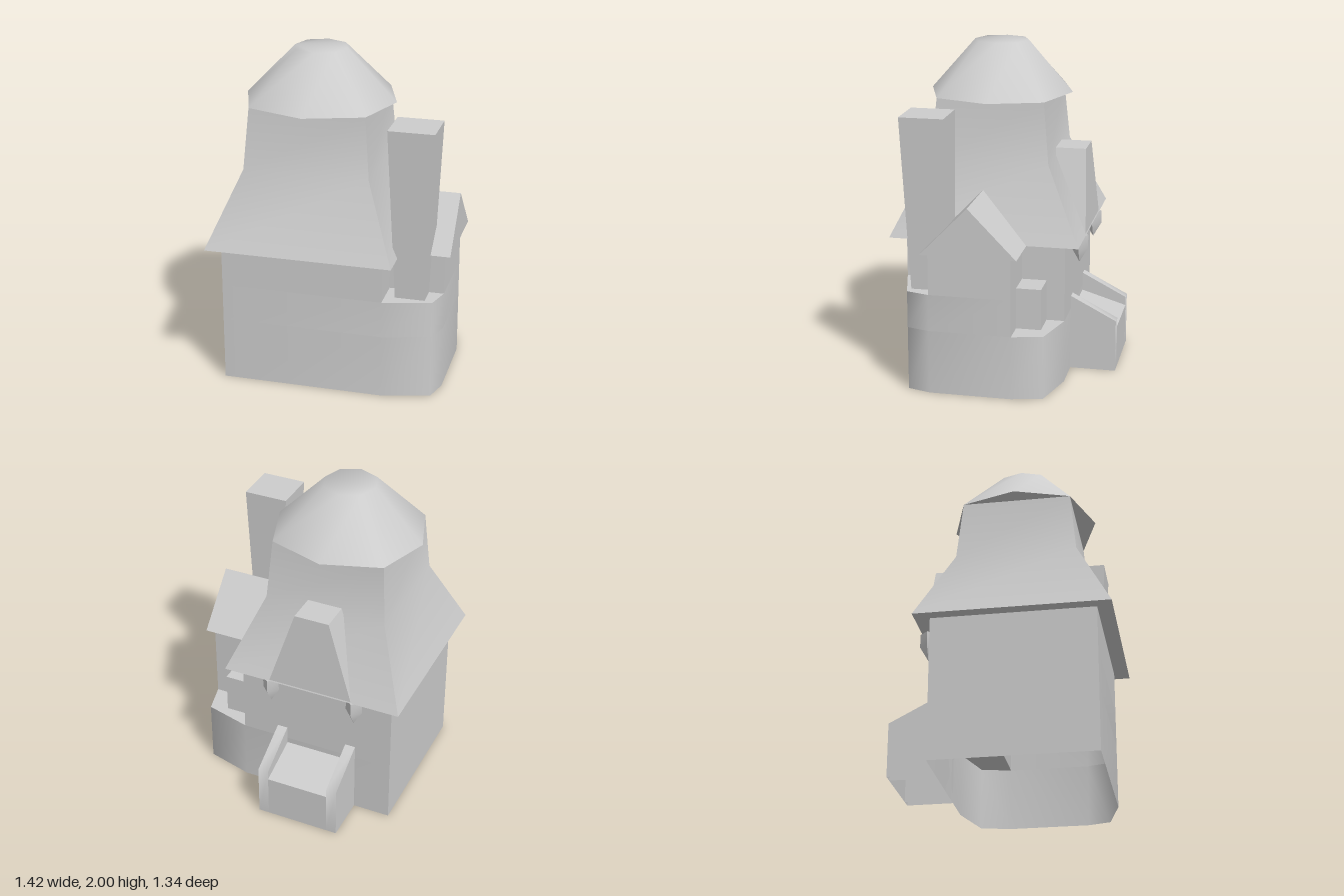
import * as THREE from 'three';
import { toCreasedNormals } from 'three/addons/utils/BufferGeometryUtils.js';

const stone = new THREE.MeshStandardMaterial({ color: 0xcccccc, side: THREE.DoubleSide });
stone.name = 'stone';

// Skin a stack of rings (counter-clockwise seen from above), with optional end caps
function loft(rings, top = true, bottom = true) {
  const n = rings[0].length, idx = [];
  for (let r = 0; r < rings.length - 1; r++) {
    for (let i = 0; i < n; i++) {
      const a = r * n + i, b = r * n + (i + 1) % n;
      idx.push(a, b, b + n, a, b + n, a + n);
    }
  }
  const last = (rings.length - 1) * n;
  for (let i = 1; i < n - 1; i++) {
    if (top) idx.push(last, last + i, last + i + 1);
    if (bottom) idx.push(0, i + 1, i);
  }
  const g = new THREE.BufferGeometry();
  g.setAttribute('position', new THREE.Float32BufferAttribute(rings.flat(2), 3));
  g.setIndex(idx);
  return toCreasedNormals(g, 1.2);
}

const ring = (y, pts) => pts.map(([x, z]) => [x, y, z]);
const rect = (y, x0, x1, z0, z1) => ring(y, [[x0, z1], [x1, z1], [x1, z0], [x0, z0]]);

export function createModel() {
  const group = new THREE.Group();
  const add = (name, geometry) => {
    const m = new THREE.Mesh(geometry, stone);
    m.name = name;
    group.add(m);
    return m;
  };

  // House walls: the rounded corners stop at different heights
  const frontRound = [[0.34, 0.58], [0.63, 0.503], [0.67, 0.365]];
  const frontNotch = [[0.34, 0.58], [0.34, 0.365], [0.67, 0.365]];
  const backRound = [[0.67, -0.13], [0.625, -0.314], [0.34, -0.39]];
  const backNotch = [[0.67, -0.13], [0.34, -0.13], [0.34, -0.39]];
  const plan = (front, back) => [[-0.64, 0.58], ...front, ...back, [-0.64, -0.39]];
  const wall = (name, y0, y1, pts) => add(name, loft([ring(y0, pts), ring(y1, pts)], false, false));
  wall('lowerWalls', 0, 0.39, plan(frontRound, backRound));
  wall('middleWalls', 0.39, 0.615, plan(frontRound, backNotch));
  wall('upperWalls', 0.615, 0.87, plan(frontNotch, backNotch));
  add('frontLedge', loft([ring(0.615, [[0.34, 0.365], ...frontRound])], true, false));
  add('backLedge', loft([ring(0.39, [[0.34, -0.13], ...backRound])], true, false));
  add('ledgeBlock', loft([rect(0.39, 0.34, 0.52, -0.28, -0.13), rect(0.64, 0.34, 0.52, -0.28, -0.13)]));

  // Flared main roof
  const cx = -0.15, cz = 0.095;
  const tier = (y, hx, hz) => rect(y, cx - hx, cx + hx, cz - hz, cz + hz);
  add('mainRoof', loft([tier(0.87, 0.565, 0.575), tier(1.32, 0.38, 0.36), tier(1.69, 0.35, 0.325)]));

  // Eight-sided cap, smooth over its top
  const oct = (y, ax, az, dx, dz) => ring(y, [
    [-ax, 0], [-dx, dz], [0, az], [dx, dz], [ax, 0], [dx, -dz], [0, -az], [-dx, -dz],
  ].map(([x, z]) => [cx + x, cz + z]));
  add('roofCap', loft([oct(1.69, 0.46, 0.44, 0.35, 0.325), oct(2, 0.16, 0.167, 0.118, 0.118)]));

  // Side gable roof
  add('sideGable', loft([
    rect(0.87, 0.3, 0.71, -0.17, 0.405),
    rect(1.165, 0.2, 0.71, 0.1175, 0.1175),
  ]));

  // Chimney widening upwards
  add('chimney', loft([rect(0.615, 0.4, 0.58, 0.27, 0.49), rect(1.66, 0.355, 0.63, 0.27, 0.535)]));

  // Back dormer with a hanging pendant under each end
  add('backDormer', loft([
    rect(0.87, -0.415, 0.12, -0.477, -0.3),
    rect(1.365, -0.257, -0.04, -0.447, -0.2),
  ]));
  for (const x of [-0.42, 0.125]) {
    const diamond = (y, r) => ring(y, [[x - r, -0.442], [x, -0.442 + r], [x + r, -0.442], [x, -0.442 - r]]);
    add('pendant', loft([diamond(0.7, 0), diamond(0.79, 0.052), diamond(0.872, 0.052)]));
  }

  // Back ramp between two sloping side walls
  const slope = (name, x0, x1, yOuter, yInner) => {
    const base = rect(0, x0, x1, -0.67, -0.39);
    const upper = base.map(([x, , z]) => [x, z < -0.5 ? yOuter : yInner, z]);
    add(name, loft([base, upper], true, false));
  };
  slope('ramp', -0.345, 0.045, 0.27, 0.355);
  slope('rampWall', -0.41, -0.345, 0.325, 0.47);
  slope('rampWall', 0.045, 0.11, 0.325, 0.47);

  return group;
}
